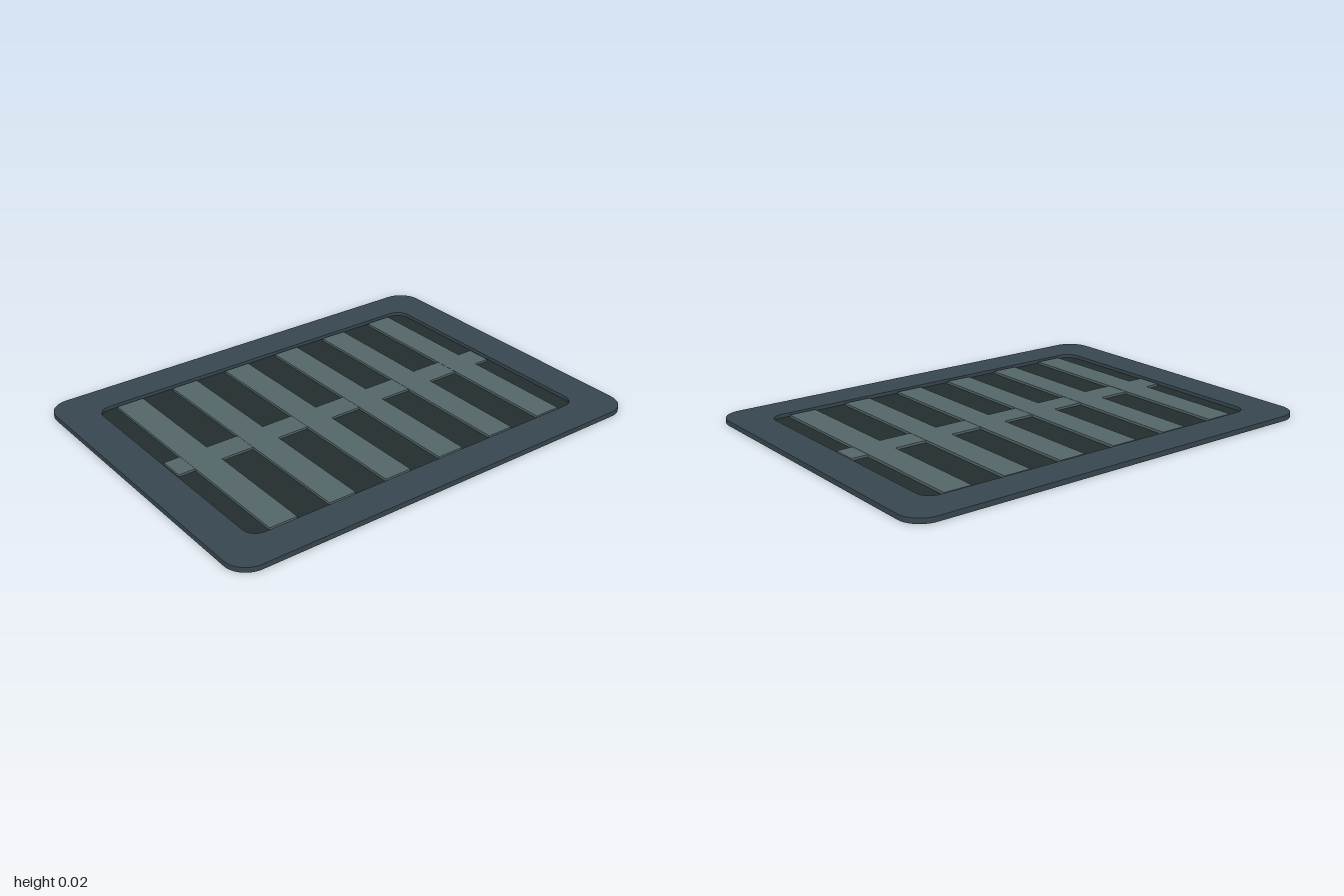
import * as THREE from 'three';

const FRAME_H = 0.022;

// Rounded rectangle outline centred on the origin
function roundedRect(w, d, r, Type = THREE.Shape) {
  const x = w / 2, y = d / 2, s = new Type();
  s.moveTo(-x + r, -y);
  s.lineTo(x - r, -y);
  s.absarc(x - r, -y + r, r, -Math.PI / 2, 0);
  s.lineTo(x, y - r);
  s.absarc(x - r, y - r, r, 0, Math.PI / 2);
  s.lineTo(-x + r, y);
  s.absarc(-x + r, y - r, r, Math.PI / 2, Math.PI);
  s.lineTo(-x, -y + r);
  s.absarc(-x + r, -y + r, r, Math.PI, Math.PI * 1.5);
  return s;
}

// Flat slab lying on y = 0
function slab(shape, height) {
  const g = new THREE.ExtrudeGeometry(shape, { depth: height, bevelEnabled: false, curveSegments: 10 });
  return g.rotateX(-Math.PI / 2);
}

export function createModel() {
  const group = new THREE.Group();
  const frameMat = new THREE.MeshStandardMaterial({ color: 0x37474f });
  const barMat = new THREE.MeshStandardMaterial({ color: 0x546669 });
  const panelMat = new THREE.MeshStandardMaterial({ color: 0x232d2f });

  const add = (name, geometry, material, x = 0, y = 0) => {
    const mesh = new THREE.Mesh(geometry, material);
    mesh.name = name;
    mesh.position.set(x, y, 0);
    group.add(mesh);
  };

  // Frame with a rounded opening
  const outline = roundedRect(2, 1.5, 0.1);
  outline.holes.push(roundedRect(1.68, 1.18, 0.06, THREE.Path));
  add('frame', slab(outline, FRAME_H), frameMat);

  // Dark panel closing the opening from below
  add('backPanel', slab(roundedRect(1.68, 1.18, 0.06), 0.006), panelMat);

  // Six slats and the rail that ties them together
  for (let i = 0; i < 6; i++) {
    add(`slat${i + 1}`, new THREE.BoxGeometry(0.125, 0.012, 1.15), barMat, (i - 2.5) * 0.275, 0.011);
  }
  add('crossRail', new THREE.BoxGeometry(1.65, 0.011, 0.115), barMat, 0, 0.0105);

  return group;
}
